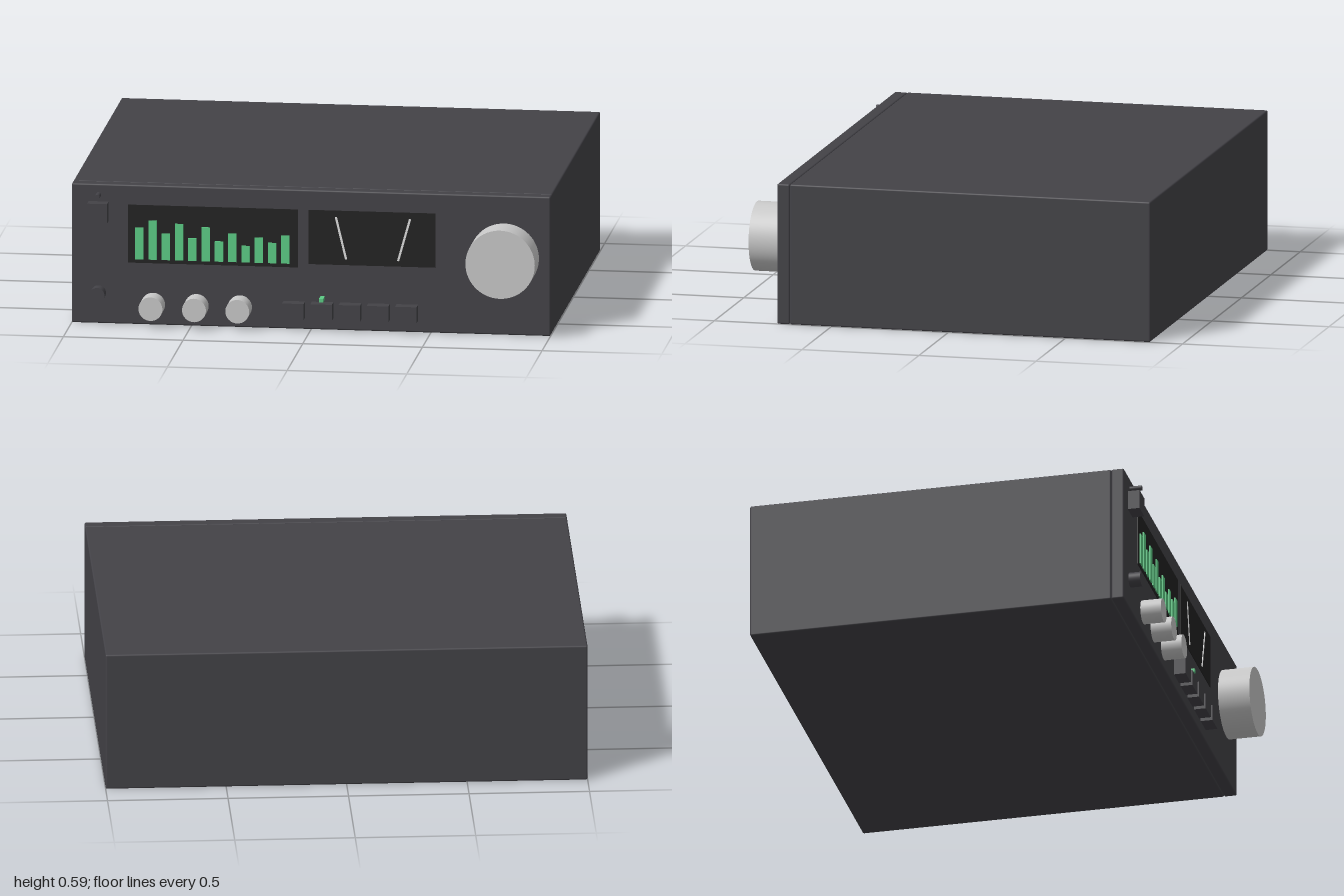
import * as THREE from 'three';
import { RoundedBoxGeometry } from 'three/addons/geometries/RoundedBoxGeometry.js';

export function createModel() {
  const model = new THREE.Group();
  model.name = 'stereoReceiver';

  const paint = (name, color) => {
    const m = new THREE.MeshStandardMaterial({ color });
    m.name = name;
    return m;
  };
  const charcoal = paint('charcoal', 0x434247);
  const black = paint('displayBlack', 0x222222);
  const silver = paint('silver', 0xc8c8c8);
  const green = paint('green', 0x5ccb85);
  const white = paint('needleWhite', 0xdedede);

  const FACE = 0.732; // z of the front panel

  const add = (name, geometry, material, x, y, z) => {
    const mesh = new THREE.Mesh(geometry, material);
    mesh.name = name;
    mesh.position.set(x, y, z);
    model.add(mesh);
    return mesh;
  };
  // Box standing out from the front panel by depth d
  const plate = (name, mat, x, y, w, h, d) =>
    add(name, new THREE.BoxGeometry(w, h, d), mat, x, y, FACE + d / 2);
  // Cylinder standing out from the front panel by depth d
  const knob = (name, mat, x, y, r, d, sides = 48) =>
    add(name, new THREE.CylinderGeometry(r, r, d, sides).rotateX(Math.PI / 2), mat, x, y, FACE + d / 2);

  // Case and front panel, meeting at a fine seam
  add('case', new RoundedBoxGeometry(2, 0.592, 1.54, 2, 0.007), charcoal, 0, 0.296, -0.092);
  add('frontPanel', new RoundedBoxGeometry(2, 0.592, 0.054, 2, 0.007), charcoal, 0, 0.296, FACE - 0.027);

  // Spectrum display with its bars
  plate('spectrumDisplay', black, -0.41, 0.385, 0.71, 0.246, 0.003);
  const levels = [0.134, 0.166, 0.112, 0.155, 0.096, 0.144, 0.086, 0.12, 0.07, 0.107, 0.086, 0.118];
  levels.forEach((h, i) =>
    plate('spectrumBar' + (i + 1), green, -0.717 + i * 0.0555, 0.278 + h / 2, 0.035, h, 0.009));

  // Meter display with two leaning needles
  plate('meterDisplay', black, 0.255, 0.393, 0.53, 0.23, 0.003);
  for (const [name, x0, x1] of [['leftNeedle', 0.364, 0.414], ['rightNeedle', 0.147, 0.104]]) {
    const dx = x1 - x0, dy = 0.179;
    const needle = plate(name, white, (x0 + x1) / 2, 0.392, 0.009, Math.hypot(dx, dy), 0.006);
    needle.rotation.z = -Math.atan2(dx, dy);
  }

  // Volume knob and three tone knobs
  knob('volumeKnob', silver, 0.807, 0.329, 0.145, 0.134, 64);
  [-0.66, -0.478, -0.297].forEach((x, i) => knob('toneKnob' + (i + 1), silver, x, 0.086, 0.05, 0.088));

  // Source buttons and the indicator above the selected one
  for (let i = 0; i < 5; i++) {
    plate('sourceButton' + (i + 1), charcoal, -0.07 + i * 0.118, 0.084, 0.09, 0.068, 0.05);
  }
  plate('sourceIndicator', green, 0.048, 0.135, 0.018, 0.015, 0.05);

  // Power button, its indicator and the headphone socket
  plate('powerButton', charcoal, -0.888, 0.477, 0.084, 0.082, 0.05);
  knob('powerIndicator', charcoal, -0.888, 0.546, 0.011, 0.05, 20);
  knob('headphoneSocket', charcoal, -0.888, 0.13, 0.031, 0.05, 32);

  return model;
}
